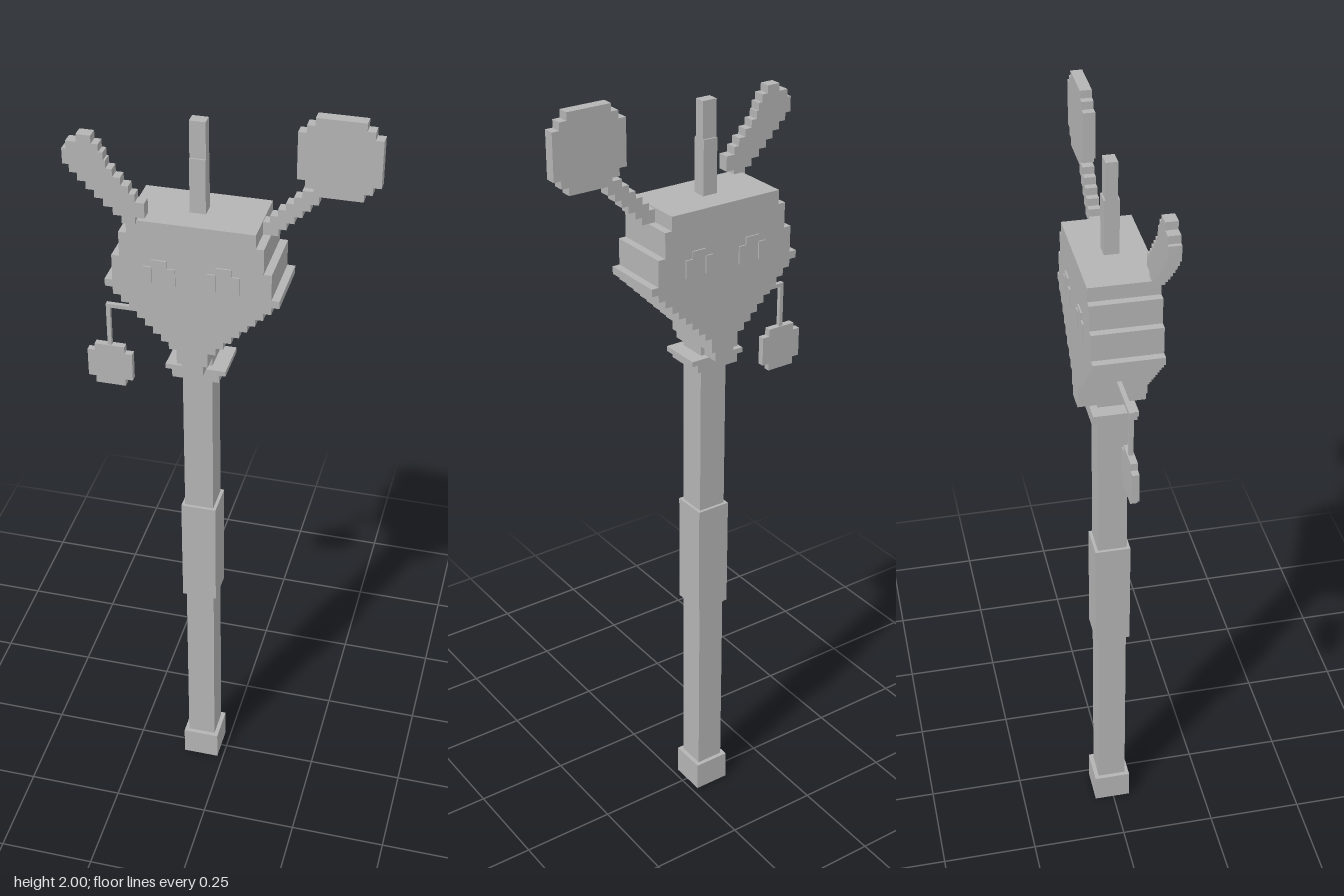
import * as THREE from 'three';

const CX = -0.064;  // axis of the staff
const CZ = -0.003;  // middle plane of the staff
const V = 0.0189;   // size of one block step

export function createModel() {
  const group = new THREE.Group();
  const grey = new THREE.MeshStandardMaterial({ color: 0xb4b4b4 });
  grey.name = 'grey';

  const add = (name, geometry) => {
    const mesh = new THREE.Mesh(geometry, grey);
    mesh.name = name;
    group.add(mesh);
    return mesh;
  };

  // Box given by its limits in x and y and its centre and depth in z
  const box = (name, x0, x1, y0, y1, z, depth) => {
    const g = new THREE.BoxGeometry(x1 - x0, y1 - y0, depth);
    g.translate((x0 + x1) / 2, (y0 + y1) / 2, z);
    return add(name, g);
  };

  // Stepped slab from rows [left, right, height], stacked downwards from top
  const slab = (name, rows, top, z, depth) => {
    const right = [], left = [];
    let y = top;
    for (const [x0, x1, h] of rows) {
      right.push(new THREE.Vector2(x1, y), new THREE.Vector2(x1, y - h));
      left.push(new THREE.Vector2(x0, y), new THREE.Vector2(x0, y - h));
      y -= h;
    }
    const points = [...right, ...left.reverse()]
      .filter((p, i, a) => i === 0 || p.distanceTo(a[i - 1]) > 1e-5);
    const g = new THREE.ExtrudeGeometry(new THREE.Shape(points), { depth, bevelEnabled: false });
    g.translate(0, 0, z - depth / 2);
    return add(name, g);
  };
  const centred = (x, halves) => halves.map(([n, h]) => [x - n * V, x + n * V, h]);

  // Staff: foot, shaft, grip and collar, all square in section
  for (const [name, half, y0, y1, halfZ = half] of [
    ['foot', 0.048, 0, 0.08],
    ['shaft', 0.037, 0.08, 1.4],
    ['grip', 0.045, 0.6, 0.9],
    ['lowerCollar', 0.058, 1.304, 1.325, 0.055],
    ['upperCollar', 0.074, 1.325, 1.338, 0.055],
  ]) box(name, CX - half, CX + half, y0, y1, CZ, halfZ * 2);

  // Head: stepped shield silhouette, tapering down to the collar
  const headRows = [[8, 0.035], [9, 0.063], [10, 0.066], [11, 0.019]];
  for (let n = 10; n >= 2; n--) headRows.push([n, V]);
  headRows.push([2, V], [1.4, 0.025]);
  slab('head', centred(CX, headRows), 1.735, CZ, 0.166);

  // Closed eyes: thin arches on both faces
  for (const side of [1, -1]) {
    for (const x of [-0.139, 0.0125]) {
      const z = CZ + side * 0.0835;
      box('eyeLid', x - V, x + V, 1.62, 1.639, z, 0.006);
      for (const s of [-1, 1]) {
        const c = x + s * 1.5 * V;
        box('eyeCorner', c - V / 2, c + V / 2, 1.575, 1.62, z, 0.006);
      }
    }
  }

  // Upright spike on the crown
  box('spikeBase', CX - 0.019, CX + 0.019, 1.72, 1.87, CZ, 0.036);
  box('spikeTip', CX - 0.019, CX + 0.019, 1.87, 1.96, CZ, 0.028);

  // Slanted ear on the right, near the front face
  const earRows = [
    [-0.32, -0.286], [-0.345, -0.27], [-0.355, -0.26], [-0.355, -0.255],
    [-0.34, -0.24], [-0.322, -0.222], [-0.303, -0.204], [-0.284, -0.19],
    [-0.264, -0.168], [-0.242, -0.168], [-0.222, -0.19],
  ].map(([a, b]) => [a, b, V]);
  slab('ear', earRows, 1.935, 0.0725, 0.029);

  // Stepped stalk and round disc on the left
  for (let i = 0; i < 6; i++) {
    const x = 0.104 + i * V * 0.95, y = 1.716 + i * V * 0.95;
    box('stalk', x - V, x + V, y - 0.016, y + 0.016, CZ, 0.028);
  }
  slab('disc', centred(0.256, [[3, V], [4, V], [5, 6 * V], [4, V], [3, V]]), 2, CZ, 0.028);

  // Charm hanging from a thin bent rod on the right
  box('charmArm', -0.299, -0.15, 1.442, 1.452, CZ, 0.011);
  box('charmCord', -0.299, -0.289, 1.33, 1.442, CZ, 0.011);
  slab('charm', centred(-0.294, [[2, V], [3, 4 * V], [2, V]]), 1.335, CZ, 0.017);

  return group;
}
